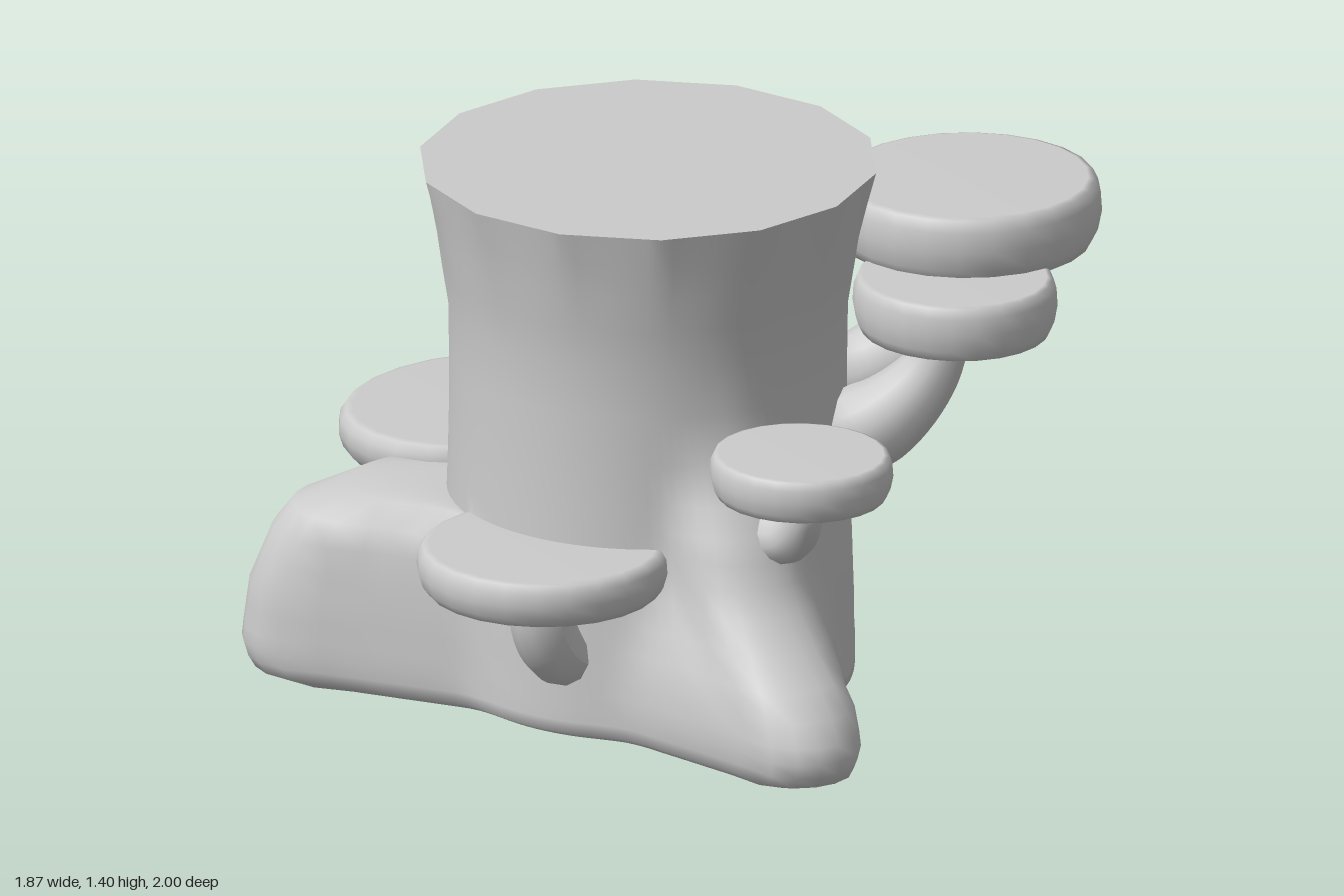
import * as THREE from 'three';
import { toCreasedNormals } from 'three/addons/utils/BufferGeometryUtils.js';

const material = new THREE.MeshStandardMaterial({ color: 0xcccccc });
const CX = -0.1; // trunk axis
const SEG = 112, SIDES = 14, LEDGE = 0.52;
const { lerp, clamp } = THREE.MathUtils;

// piecewise linear lookup in [[y, value], ...]
function key(keys, y) {
  if (y <= keys[0][0]) return keys[0][1];
  for (let i = 1; i < keys.length; i++) {
    const [y0, v0] = keys[i - 1], [y1, v1] = keys[i];
    if (y <= y1) return lerp(v0, v1, (y - y0) / (y1 - y0));
  }
  return keys[keys.length - 1][1];
}

const trunkKeys = [[0, 0.53], [0.3, 0.525], [0.52, 0.515], [0.75, 0.508], [1.02, 0.51], [1.2, 0.54], [1.4, 0.59]];

// roots: heading, reach by height, base and tip half-widths by height
const frontRoot = {
  angle: Math.atan2(-0.23, 0.87),
  reach: [[0, 0.96], [0.03, 1.0], [0.1, 1.025], [0.2, 0.97], [0.36, 0.77], [0.45, 0.695], [0.56, 0.65], [0.7, 0.55], [0.8, 0.48]],
  base: [[0, 0.46], [0.5, 0.46]], tip: [[0, 0.14], [0.5, 0.18]],
};
const sideRoot = {
  angle: Math.atan2(0.82, -0.22),
  reach: [[0, 0.83], [0.04, 0.85], [0.25, 0.845], [0.52, 0.875]],
  base: [[0.02, 0.38], [0.52, 0.47]], tip: [[0.02, 0.06], [0.25, 0.12], [0.52, 0.18]],
};
const backRoot = {
  angle: Math.atan2(-0.73, -0.72),
  reach: [[0, 0.98], [0.03, 1.02], [0.09, 1.04], [0.25, 1.02], [0.4, 0.96], [0.46, 0.91], [0.52, 0.76]],
  base: [[0, 0.46], [0.5, 0.46]], tip: [[0, 0.16], [0.5, 0.19]],
};

function smoothMin(a, b, k) {
  const h = Math.max(k - Math.abs(a - b), 0) / k;
  return Math.min(a, b) - h * h * k / 4;
}

// outline radius at one heading and height: trunk circle blended with tapering roots
function outline(angle, y, roots) {
  const trunk = key(trunkKeys, y);
  const shapes = roots.map(r => {
    const tip = key(r.tip, y);
    return { a: r.angle, base: key(r.base, y), tip, len: Math.max(key(r.reach, y) - tip, 0.02) };
  });
  for (let r = 1.2; r > 0.3; r -= 0.002) {
    let d = r - trunk;
    for (const s of shapes) {
      const u = r * Math.cos(angle - s.a), v = r * Math.sin(angle - s.a);
      const h = clamp(u / s.len, 0, 1);
      d = smoothMin(d, Math.hypot(u - s.len * h, v) - lerp(s.base, s.tip, h), 0.045);
    }
    if (d <= 0) return r;
  }
  return 0.3;
}

// lower rim lifts on both sides of the side root
function rimHeight(angle) {
  const a = (angle + Math.PI * 2) % (Math.PI * 2);
  const bell = (c, w) => Math.exp(-(((a - c) / w) ** 2));
  return 0.022 + (0.21 * bell(1.45, 0.42) + 0.15 * bell(2.35, 0.4)) * (1 - bell(sideRoot.angle, 0.17));
}

function stumpGeometry() {
  const pos = [], index = [];
  const all = [frontRoot, sideRoot, backRoot];
  const rings = [];
  // underside, rooted flank, ledge, then trunk
  for (const s of [0, 0.3, 0.6, 0.93]) rings.push(a => {
    const y = rimHeight(a);
    return [outline(a, y, all) * s, lerp(0.06, y - 0.022, (s / 0.93) ** 2)];
  });
  for (const t of [0, 0.06, 0.14, 0.22, 0.34, 0.46, 0.6, 0.75, 0.88, 1]) rings.push(a => {
    const y = lerp(rimHeight(a), LEDGE, t);
    return [outline(a, y, all), y];
  });
  for (const y of [LEDGE, 0.58, 0.65, 0.75, 0.88, 1.02, 1.12, 1.22, 1.31, 1.4]) rings.push(a => {
    const step = 2 * Math.PI / SIDES;
    const m = ((a % step) + step) % step - step / 2;
    // the cut end is a polygon that rounds off lower down
    const poly = Math.cos(step / 2) / Math.cos(Math.abs(m) - step / 2);
    return [outline(a, y, [frontRoot]) * lerp(1, poly, clamp((y - 1.15) / 0.25, 0, 1)), y];
  });
  rings.push(() => [0, 1.4]);

  rings.forEach((ring, j) => {
    for (let i = 0; i < SEG; i++) {
      const a = (i + 0.5 * SEG / SIDES) * 2 * Math.PI / SEG;
      const [r, y] = ring(a);
      pos.push(CX + r * Math.sin(a), y, r * Math.cos(a));
      if (j === 0) continue;
      const n = (i + 1) % SEG, lo = (j - 1) * SEG, hi = j * SEG;
      if (j > 1) index.push(lo + i, lo + n, hi + i);
      if (j < rings.length - 1) index.push(lo + n, hi + n, hi + i);
    }
  });
  const geo = new THREE.BufferGeometry();
  geo.setAttribute('position', new THREE.Float32BufferAttribute(pos, 3));
  geo.setIndex(index);
  return toCreasedNormals(geo, 1.15);
}

// rounded disc whose inner side is pressed against the trunk
function capGeometry(x, z, rx, rz, y0, y1) {
  const h = y1 - y0;
  const profile = [[0, 0], [0.86, 0], [0.92, 0.02], [0.97, 0.2], [1, 0.5], [0.99, 0.8], [0.95, 0.97], [0.9, 1], [0, 1]]
    .map(([r, y]) => new THREE.Vector2(r, y * h));
  const geo = new THREE.LatheGeometry(profile, 24);
  geo.scale(rx, 1, rz).translate(x, y0, z);
  const p = geo.attributes.position;
  for (let i = 0; i < p.count; i++) {
    const dx = p.getX(i) - CX, dz = p.getZ(i), d = Math.hypot(dx, dz);
    const min = key(trunkKeys, p.getY(i)) - 0.03;
    if (d < min) p.setXYZ(i, CX + dx * min / d, p.getY(i), dz * min / d);
  }
  return geo;
}

// curved stem, thin under the cap and swelling to a rounded foot in the trunk
function stemGeometry(points, rTop, rFoot) {
  const path = new THREE.CatmullRomCurve3(points.map(p => new THREE.Vector3(...p)));
  const N = 20, SIDE = 12;
  const geo = new THREE.TubeGeometry(path, N, 1, SIDE, false);
  const p = geo.attributes.position, v = new THREE.Vector3();
  for (let i = 0; i < p.count; i++) {
    const t = Math.floor(i / (SIDE + 1)) / N, c = path.getPointAt(t);
    const round = t > 0.7 ? Math.sqrt(Math.max(0, 1 - ((t - 0.7) / 0.3) ** 2)) : 1;
    v.fromBufferAttribute(p, i).sub(c).multiplyScalar(lerp(rTop, rFoot, t) * round).add(c);
    p.setXYZ(i, v.x, v.y, v.z);
  }
  geo.computeVertexNormals();
  return geo;
}

const fungi = [
  { name: 'highFungus', cap: [0.585, 0.455, 0.345, 0.345, 1.14, 1.315], r: [0.055, 0.14],
    stem: [[0.575, 1.17, 0.44], [0.56, 1.0, 0.43], [0.48, 0.84, 0.35], [0.33, 0.75, 0.22]] },
  { name: 'upperFungus', cap: [0.365, 0.655, 0.255, 0.27, 1.005, 1.155], r: [0.05, 0.14],
    stem: [[0.38, 1.03, 0.64], [0.34, 0.87, 0.58], [0.26, 0.75, 0.5], [0.17, 0.67, 0.38]] },
  { name: 'frontFungus', cap: [-0.25, 0.755, 0.23, 0.24, 0.735, 0.85], r: [0.035, 0.085],
    stem: [[-0.23, 0.75, 0.76], [-0.22, 0.65, 0.73], [-0.205, 0.58, 0.66], [-0.2, 0.55, 0.5]] },
  { name: 'rightFungus', cap: [-0.61, 0.17, 0.325, 0.325, 0.41, 0.53], r: [0.075, 0.095],
    stem: [[-0.66, 0.43, 0.2], [-0.64, 0.32, 0.2], [-0.58, 0.24, 0.19], [-0.47, 0.2, 0.17]] },
  { name: 'backFungus', cap: [-0.07, -0.66, 0.4, 0.34, 0.445, 0.56], r: [0.06, 0.09],
    stem: [[-0.08, 0.47, -0.75], [-0.08, 0.35, -0.73], [-0.08, 0.26, -0.63], [-0.08, 0.23, -0.46]] },
];

export function createModel() {
  const model = new THREE.Group();
  model.name = 'treeStump';
  const add = (parent, name, geo) => {
    const mesh = new THREE.Mesh(geo, material);
    mesh.name = name;
    parent.add(mesh);
  };
  add(model, 'stump', stumpGeometry());
  for (const f of fungi) {
    const group = new THREE.Group();
    group.name = f.name;
    add(group, 'cap', capGeometry(...f.cap));
    add(group, 'stem', stemGeometry(f.stem, ...f.r));
    model.add(group);
  }
  return model;
}
